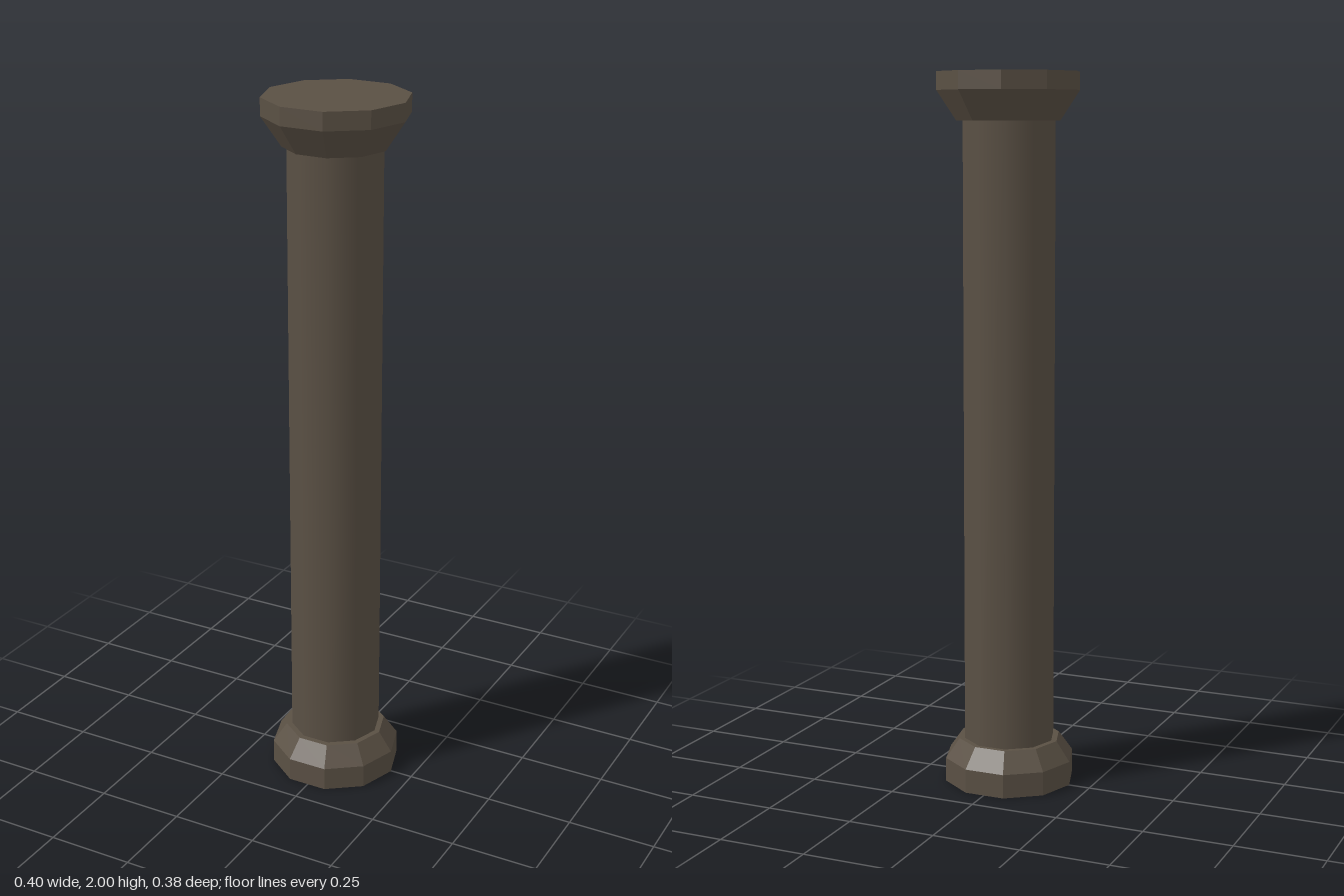
import * as THREE from 'three';

const SIDES = 10;

export function createModel() {
  const group = new THREE.Group();
  group.name = 'column';
  const stone = new THREE.MeshStandardMaterial({ color: 0x5a5044 });
  stone.name = 'brown stone';

  // Ten-sided drum with a corner on the x axis
  const drum = (rTop, rBottom, y0, y1, open) =>
    new THREE.CylinderGeometry(rTop, rBottom, y1 - y0, SIDES, 1, open, Math.PI / 2)
      .translate(0, (y0 + y1) / 2, 0);

  const add = (name, geometry, x = 0, z = 0) => {
    const mesh = new THREE.Mesh(geometry, stone);
    mesh.name = name;
    mesh.position.set(x, 0, z);
    group.add(mesh);
  };

  // Faceted moulding: a closed profile turned around the column
  const moulding = (profile) => {
    const points = profile.map(([r, y]) => new THREE.Vector2(r, y));
    const geometry = new THREE.LatheGeometry(points, SIDES, Math.PI / 2).toNonIndexed();
    geometry.computeVertexNormals();
    return geometry;
  };

  // Base: upright plinth, then a bevel in to the shaft
  add('base', moulding([[0, 0], [0.186, 0], [0.186, 0.068], [0.146, 0.124], [0, 0.124]]), -0.002, 0.002);

  // Smooth shaft
  add('shaft', drum(0.13, 0.13, 0.12, 1.875, true), -0.002, 0.001);

  // Capital: flare out to an upright rim with a flat top
  add('capital', moulding([[0, 1.868], [0.145, 1.868], [0.2, 1.95], [0.2, 2], [0, 2]]));

  return group;
}
